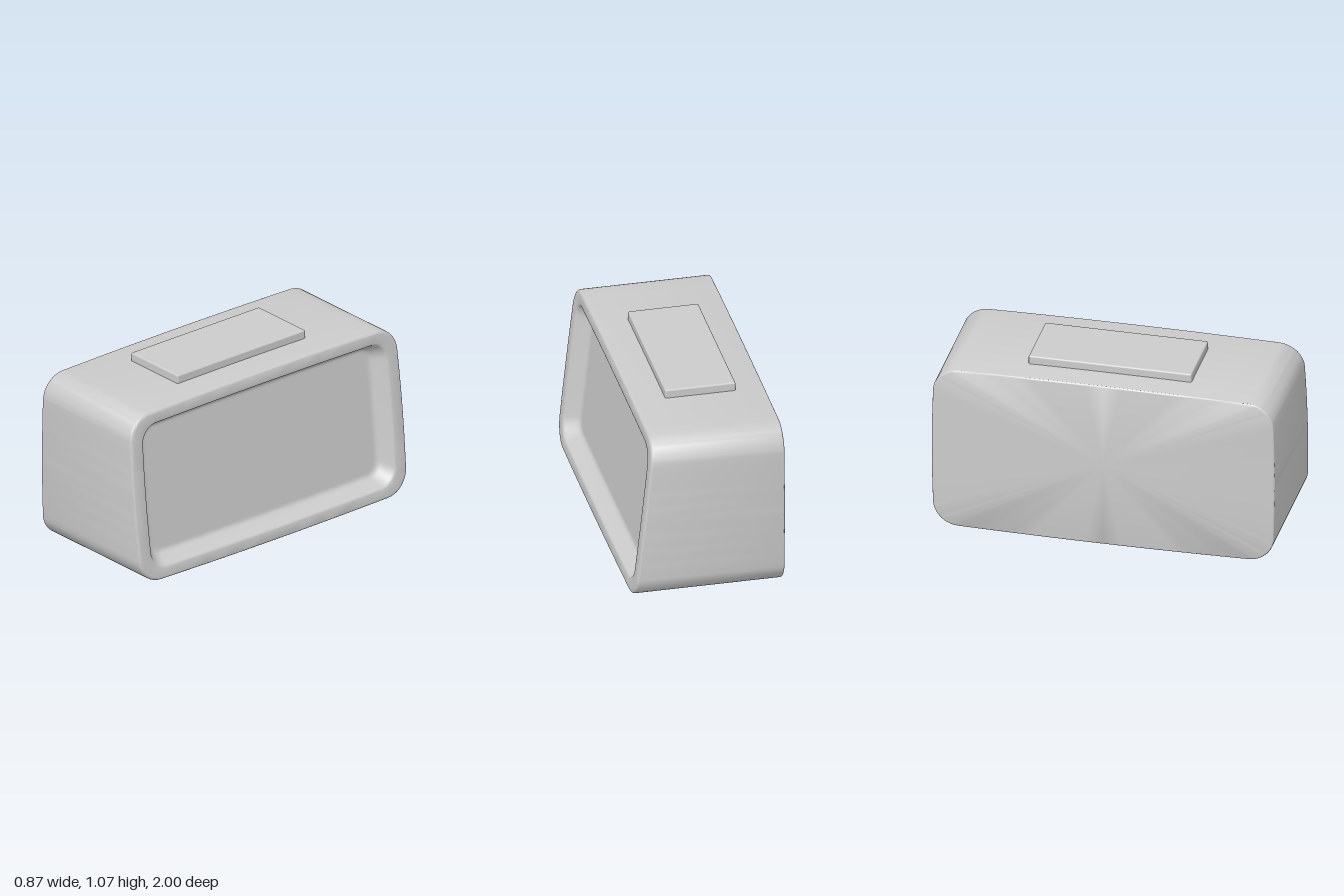
import * as THREE from 'three';
import { toCreasedNormals } from 'three/addons/utils/BufferGeometryUtils.js';
import { RoundedBoxGeometry } from 'three/addons/geometries/RoundedBoxGeometry.js';

const HALF_Z = 1, HALF_Y = 0.51, BACK = -0.437;
const ARC = 10, SIDE = 16;

// slanted front plane: leans back toward the top
const frontX = (y) => 0.437 - 0.108 * y;

// rounded rectangle in (z, y) with slightly bowed sides, shrunk by an inset
function section(inset, radius) {
  const a = HALF_Z - inset, b = HALF_Y - inset * 0.83, pts = [];
  const corners = [[1, 1], [-1, 1], [-1, -1], [1, -1]];
  corners.forEach(([sz, sy], q) => {
    for (let i = 0; i <= ARC; i++) {
      const t = (q + i / ARC) * Math.PI / 2;
      pts.push([sz * (a - radius) + radius * Math.cos(t), sy * (b - radius) + radius * Math.sin(t)]);
    }
    // subdivide the straight side that follows this corner
    const [nz, ny] = corners[(q + 1) % 4];
    const t = (q + 1) * Math.PI / 2;
    const from = pts[pts.length - 1];
    const to = [nz * (a - radius) + radius * Math.cos(t), ny * (b - radius) + radius * Math.sin(t)];
    for (let i = 1; i < SIDE; i++) {
      const f = i / SIDE;
      pts.push([from[0] + (to[0] - from[0]) * f, from[1] + (to[1] - from[1]) * f]);
    }
  });
  return pts.map(([z, y]) => [
    z * (1 - 0.014 * (y / HALF_Y) ** 2),
    HALF_Y + y * (1 - 0.022 * (z / HALF_Z) ** 2),
  ]);
}

function bodyGeometry() {
  const rings = [];
  const backRing = (inset, dx) =>
    rings.push(section(inset, 0.14 - inset * 0.4).map(([z, y]) => [BACK + dx, y, z]));
  const frontRing = (inset, depth) =>
    rings.push(section(inset, 0.14 - inset * 0.4).map(([z, y]) => [frontX(y) - depth, y, z]));
  const fillet = (fn, r, inset, depth, from, to) => {
    for (let i = 0; i <= 5; i++) {
      const t = from + (to - from) * i / 5;
      fn(inset - r * Math.cos(t), depth - r * Math.sin(t));
    }
  };

  // back edge, shell, front lip
  fillet(backRing, 0.012, 0.012, 0.012, Math.PI / 2, 0);
  fillet(frontRing, 0.018, 0.018, 0.018, 0, Math.PI / 2);
  // rim rolling into the sloped recess wall, then into the recess floor
  [[0.078, 0], [0.086, 0.002], [0.092, 0.008], [0.097, 0.016], [0.135, 0.072],
    [0.143, 0.081], [0.153, 0.087], [0.165, 0.09], [0.18, 0.09]].forEach(([i, d]) => frontRing(i, d));

  const n = rings[0].length, pos = [], idx = [];
  rings.forEach((r) => r.forEach((p) => pos.push(...p)));
  for (let k = 0; k < rings.length - 1; k++) {
    for (let i = 0; i < n; i++) {
      const j = (i + 1) % n;
      const a = k * n + i, b = a + n, c = k * n + j, d = c + n;
      idx.push(a, b, c, b, d, c);
    }
  }
  // flat back panel and recess floor
  const backC = rings.length * n, frontC = backC + 1, last = (rings.length - 1) * n;
  pos.push(BACK, HALF_Y, 0, frontX(HALF_Y) - 0.09, HALF_Y, 0);
  for (let i = 0; i < n; i++) {
    const j = (i + 1) % n;
    idx.push(backC, i, j, frontC, last + j, last + i);
  }
  const g = new THREE.BufferGeometry();
  g.setAttribute('position', new THREE.Float32BufferAttribute(pos, 3));
  g.setIndex(idx);
  return toCreasedNormals(g, 0.7);
}

export function createModel() {
  const group = new THREE.Group();
  const material = new THREE.MeshStandardMaterial({ color: 0xcccccc });
  const add = (name, geometry, x = 0, y = 0, z = 0) => {
    const mesh = new THREE.Mesh(geometry, material);
    mesh.name = name;
    mesh.position.set(x, y, z);
    group.add(mesh);
  };

  // housing with recessed display face
  add('housing', bodyGeometry());
  // wide push button on top
  add('topButton', new RoundedBoxGeometry(0.41, 0.09, 0.95, 3, 0.01), -0.065, 1.023, 0);
  return group;
}
